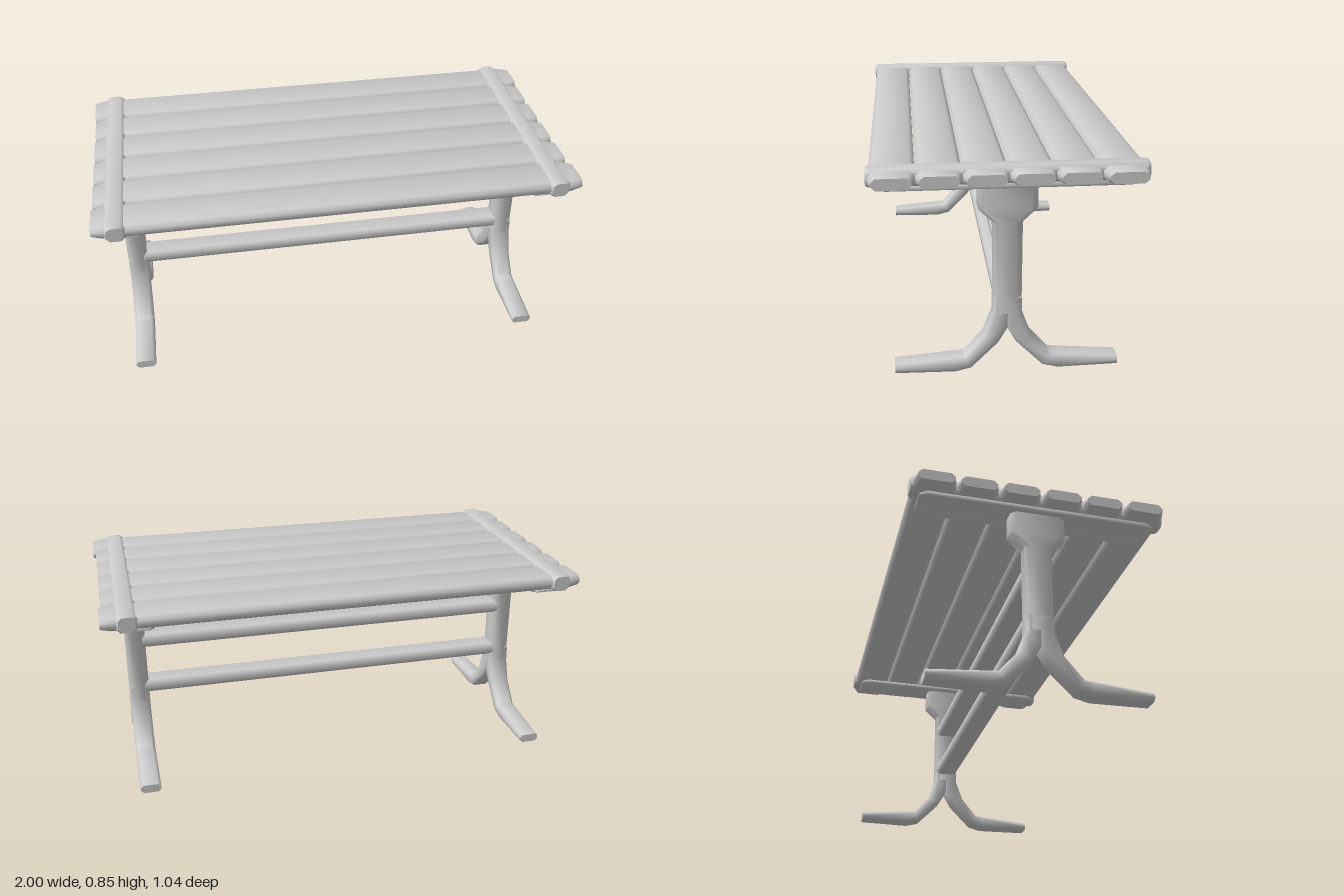
import * as THREE from 'three';
import { toCreasedNormals } from 'three/addons/utils/BufferGeometryUtils.js';

const material = new THREE.MeshStandardMaterial({ color: 0xcccccc });
const V = (x, y, z) => new THREE.Vector3(x, y, z);

// Chamfered rectangle around centre c, spanned by half-vectors u and v, chamfer size k
function section(c, u, v, k) {
  const a = 1 - k / u.length(), b = 1 - k / v.length();
  return [[1, b], [a, 1], [-a, 1], [-1, b], [-1, -b], [-a, -1], [a, -1], [1, -b]]
    .map(([s, t]) => c.clone().addScaledVector(u, s).addScaledVector(v, t));
}

// Closed skin through a row of sections, always wound to face outward
function loft(name, rings) {
  const n = rings[0].length, pts = rings.flat(), tris = [];
  for (let r = 0; r < rings.length - 1; r++) {
    for (let i = 0; i < n; i++) {
      const a = r * n + i, b = r * n + (i + 1) % n;
      tris.push([a, b, b + n], [a, b + n, a + n]);
    }
  }
  const last = (rings.length - 1) * n;
  for (let i = 1; i < n - 1; i++) tris.push([0, i + 1, i], [last, last + i, last + i + 1]);
  const volume = tris.reduce((s, [a, b, c]) =>
    s + pts[a].dot(new THREE.Vector3().crossVectors(pts[b], pts[c])), 0);
  if (volume < 0) tris.forEach(t => t.reverse());
  const g = new THREE.BufferGeometry().setFromPoints(pts);
  g.setIndex(tris.flat());
  const mesh = new THREE.Mesh(toCreasedNormals(g, 0.9), material);
  mesh.name = name;
  return mesh;
}

// Straight bar along x or z with eased ends; w is its width across, h its height
function bar(name, axis, from, to, cx, cy, w, h, k, ease, inset) {
  const stops = [[from, inset], [from + ease, 0], [to - ease, 0], [to, inset]];
  return loft(name, stops.map(([p, e]) => section(
    axis === 'x' ? V(p, cy, cx) : V(cx, cy, p),
    axis === 'x' ? V(0, 0, w / 2 - e) : V(w / 2 - e, 0, 0),
    V(0, h / 2 - e * 0.4, 0), k)));
}

function leg(name, x) {
  const group = new THREE.Group();
  group.name = name;
  // Column with a flared head: [y, half depth, half width]
  const column = [[0.245, 0.055, 0.043], [0.615, 0.056, 0.043], [0.67, 0.112, 0.046], [0.765, 0.112, 0.047]];
  group.add(loft('column', column.map(([y, hz, hx]) =>
    section(V(x, y, 0), V(hx, 0, 0), V(0, 0, hz), 0.02))));
  // Splayed foot: upper and lower edge points as [z, y, z, y]
  const edges = [
    [0.055, 0.31, -0.02, 0.31], [0.055, 0.245, 0, 0.18], [0.09, 0.15, 0.035, 0.12],
    [0.165, 0.063, 0.14, 0.015], [0.2, 0.06, 0.2, 0], [0.435, 0.04, 0.435, 0.004],
  ];
  for (const side of [1, -1]) {
    group.add(loft(side > 0 ? 'frontFoot' : 'backFoot', edges.map(([z1, y1, z2, y2]) => section(
      V(x, (y1 + y2) / 2, side * (z1 + z2) / 2),
      V(0.043, 0, 0),
      V(0, (y1 - y2) / 2, side * (z1 - z2) / 2), 0.012))));
  }
  return group;
}

export function createModel() {
  const table = new THREE.Group();
  table.name = 'slattedTable';

  // Six planks side by side
  const pitch = 0.17;
  for (let i = 0; i < 6; i++) {
    const z = (i - 2.5) * pitch;
    table.add(bar('plank', 'x', i % 5 ? -0.995 : -1, i % 5 ? 0.99 : 1, z, 0.812, 0.168, 0.054, 0.016, 0.045, 0.012));
  }

  // Battens wrapping the planks near each end, with a flat support below
  for (const x of [-0.907, 0.898]) {
    table.add(bar('endBatten', 'z', -0.518, 0.518, x, 0.813, 0.082, 0.068, 0.014, 0.012, 0.008));
  }
  for (const x of [-0.873, 0.86]) {
    table.add(bar('supportBar', 'z', -0.48, 0.48, x, 0.772, 0.14, 0.02, 0.003, 0.03, 0.015));
  }

  // Legs and the two stretchers between them
  table.add(leg('rightLeg', -0.873), leg('leftLeg', 0.86));
  for (const y of [0.308, 0.528]) {
    table.add(bar('stretcher', 'x', -0.85, 0.84, 0, y, 0.1, 0.056, 0.012, 0.01, 0));
  }
  return table;
}
